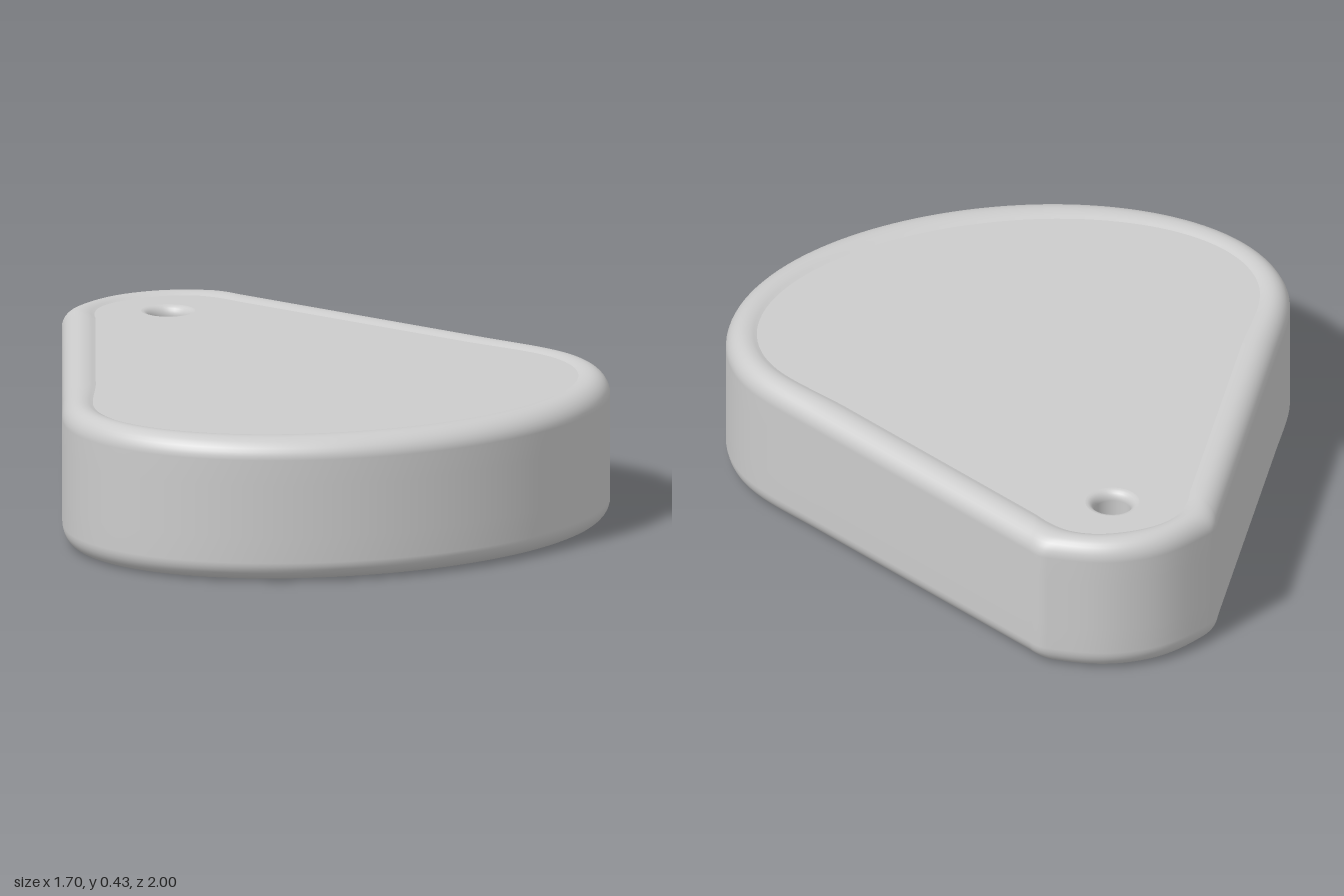
import * as THREE from 'three';

const TOP = 0.434, BOTTOM = 0.002, DIP = 0.009;
const HOLE = { z: -0.74, r: 0.055, flare: 0.08, sides: 32 };

const V = (x, y) => new THREE.Vector2(x, y);

// Closed teardrop outline in (x, z), from the narrow back end round by +x.
// Every outline has the same number of points, so two of them can be blended.
function outline({ back, crown, shoulder, flank, bulge, wide, front }) {
  const k = 0.5523;
  const segments = [
    [new THREE.CubicBezierCurve(V(0, back), V(crown[0] * 0.5, back), crown[2], V(...shoulder[0])), 14],
    [new THREE.QuadraticBezierCurve(V(...shoulder[0]), shoulder[1], V(...shoulder[2])), 6],
    [new THREE.LineCurve(V(...shoulder[2]), V(...flank)), 20],
    [new THREE.CubicBezierCurve(V(...flank), bulge, V(wide[0], wide[1] - 0.13), V(...wide)), 14],
    [new THREE.CubicBezierCurve(V(...wide), V(wide[0], wide[1] + (front - wide[1]) * k),
      V(wide[0] * k, front), V(0, front)), 32],
  ];
  const half = [];
  for (const [curve, n] of segments) half.push(...curve.getSpacedPoints(n).slice(0, n));
  const mirrored = half.slice(1).reverse().map((p) => V(-p.x, p.y));
  return [...half, V(0, front), ...mirrored];
}

const outer = outline({
  back: -1, crown: [0.2, -1, V(0.16, -0.965)],
  shoulder: [[0.25, -0.913], V(0.275, -0.9), [0.29, -0.86]],
  flank: [0.72, 0], bulge: V(0.79, 0.14), wide: [0.848, 0.36], front: 1,
});
const inner = outline({
  back: -0.915, crown: [0.16, -0.915, V(0.13, -0.895)],
  shoulder: [[0.17, -0.86], V(0.21, -0.82), [0.235, -0.75]],
  flank: [0.61, 0], bulge: V(0.69, 0.15), wide: [0.758, 0.36], front: 0.88,
});

// Cross-section of the rim: [blend from outer to inner outline, y], bottom to top
function rimProfile() {
  const upper = [];
  const radius = 0.06, steps = 8;
  for (let i = 0; i <= steps; i++) {
    const a = (i / steps) * Math.PI / 2;
    upper.push([0.62 * (1 - Math.cos(a)), TOP - radius + radius * Math.sin(a)]);
  }
  upper.push([0.78, TOP - 0.001], [0.9, TOP - DIP * 0.6], [1, TOP - DIP]);
  const lower = upper.map(([t, y]) => [t, TOP + BOTTOM - y]).reverse();
  const middle = [0.25, 0.5, 0.75].map((f) => [0, BOTTOM + radius + f * (TOP - BOTTOM - 2 * radius)]);
  return [...lower, ...middle, ...upper];
}

function wallGeometry() {
  const positions = [], index = [], n = outer.length;
  const profile = rimProfile();
  profile.forEach(([t, y], j) => {
    for (let i = 0; i < n; i++) {
      const p = outer[i].clone().lerp(inner[i], t);
      positions.push(p.x, y, p.y);
      if (j === profile.length - 1) continue;
      const a = j * n + i, b = j * n + (i + 1) % n;
      index.push(a, a + n, b, a + n, b + n, b);
    }
  });
  const geometry = new THREE.BufferGeometry();
  geometry.setAttribute('position', new THREE.Float32BufferAttribute(positions, 3));
  geometry.setIndex(index);
  geometry.computeVertexNormals();
  return geometry;
}

// Flat face inside the rim, pierced by the hole; side is 1 for top, -1 for bottom
function faceGeometry(side) {
  const shape = new THREE.Shape(inner.map((p) => V(p.x, -side * p.y)));
  const ring = [];
  for (let i = 0; i < HOLE.sides; i++) {
    const a = (i / HOLE.sides) * Math.PI * 2;
    ring.push(V(HOLE.flare * Math.sin(a), -side * (HOLE.z + HOLE.flare * Math.cos(a))));
  }
  shape.holes.push(new THREE.Path(ring));
  return new THREE.ShapeGeometry(shape)
    .rotateX(-side * Math.PI / 2)
    .translate(0, side > 0 ? TOP - DIP : BOTTOM + DIP, 0);
}

// Hole lining with softly flared ends, turned top to bottom so it faces inward
function holeGeometry() {
  const y = TOP - DIP, end = [];
  for (let i = 0; i <= 6; i++) {
    const a = (i / 6) * Math.PI / 2;
    end.push(V(HOLE.flare - (HOLE.flare - HOLE.r) * Math.sin(a), y - 0.03 * (1 - Math.cos(a))));
  }
  const points = [...end, ...end.map((p) => V(p.x, TOP + BOTTOM - p.y)).reverse()];
  return new THREE.LatheGeometry(points, HOLE.sides).translate(0, 0, HOLE.z);
}

export function createModel() {
  const group = new THREE.Group();
  group.name = 'teardropTag';
  const material = new THREE.MeshStandardMaterial({ color: 0xcccccc });
  const add = (name, geometry) => {
    const mesh = new THREE.Mesh(geometry, material);
    mesh.name = name;
    group.add(mesh);
  };
  add('roundedRim', wallGeometry());
  add('topFace', faceGeometry(1));
  add('bottomFace', faceGeometry(-1));
  add('cordHole', holeGeometry());
  return group;
}
